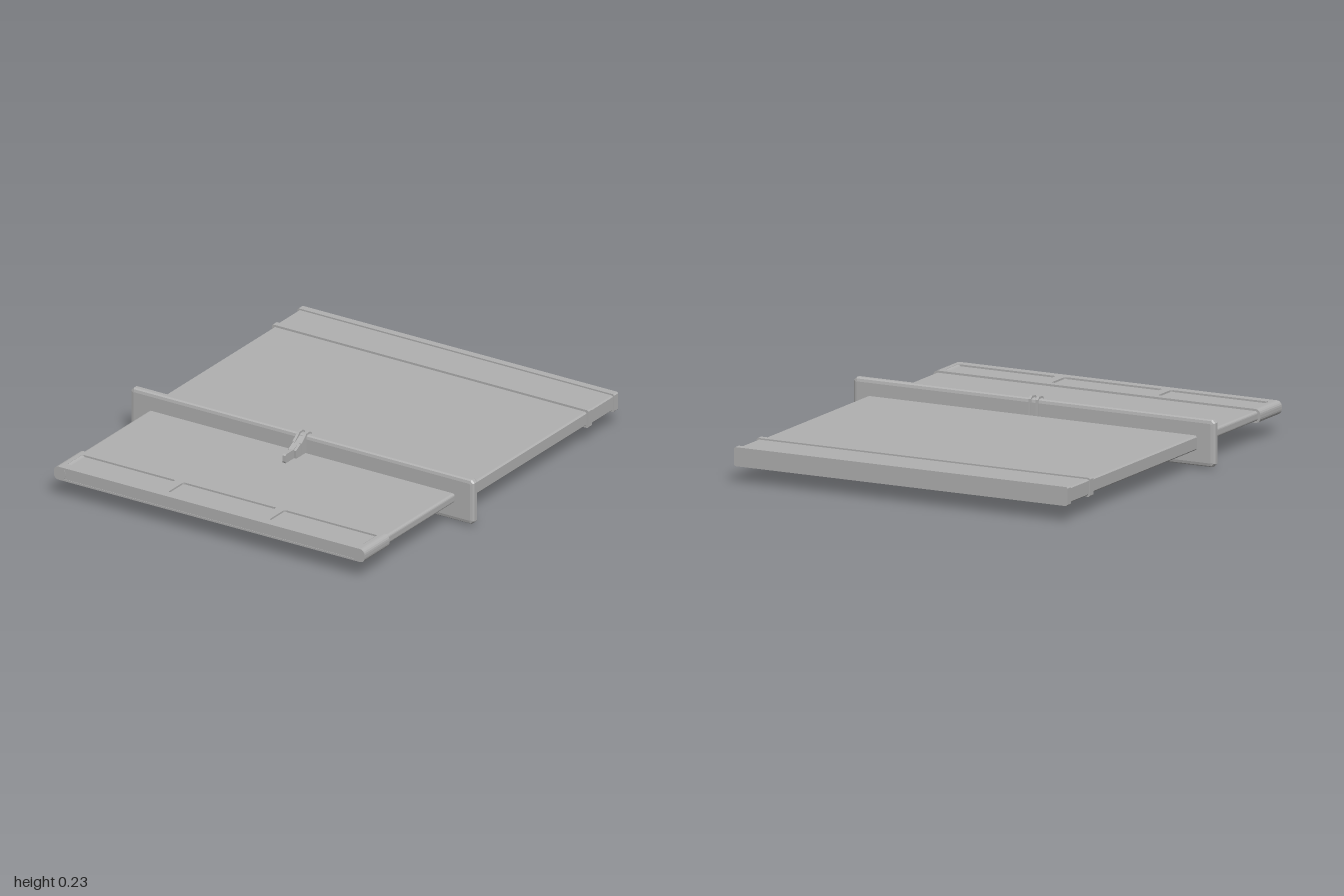
import * as THREE from 'three';

const MID = 0.117; // height of the central plane

export function createModel() {
  const model = new THREE.Group();
  model.name = 'sheathedBlade';
  const grey = new THREE.MeshStandardMaterial({ color: 0xb0b0b0 });
  grey.name = 'plain grey';

  const add = (name, geometry) => {
    const mesh = new THREE.Mesh(geometry, grey);
    mesh.name = name;
    model.add(mesh);
    return mesh;
  };

  // Rectangle with chamfered or rounded corners
  const plate = (w, h, r, steps = 1) => {
    const pts = [];
    [[1, 1], [-1, 1], [-1, -1], [1, -1]].forEach(([sx, sy], q) => {
      for (let i = 0; i <= steps; i++) {
        const a = (q + i / steps) * Math.PI / 2;
        pts.push(new THREE.Vector2(sx * (w / 2 - r) + r * Math.cos(a), sy * (h / 2 - r) + r * Math.sin(a)));
      }
    });
    return pts;
  };

  // Flat bar running along z between two depths
  const bar = (name, halfW, h, z0, z1, r, steps) => {
    const g = new THREE.ExtrudeGeometry(new THREE.Shape(plate(halfW * 2, h, r, steps)),
      { depth: z1 - z0, bevelEnabled: false });
    return add(name, g.translate(0, MID, z0));
  };

  // Sideways profile given as [z, offset from the central plane], centred on x
  const profile = (name, pts, width, side, x = 0) => {
    const shape = new THREE.Shape(pts.map(([z, y]) => new THREE.Vector2(z, MID + side * y)));
    const g = new THREE.ExtrudeGeometry(shape, { depth: width, bevelEnabled: false });
    return add(name, g.rotateY(-Math.PI / 2).translate(x + width / 2, 0, 0));
  };

  // Sheath with its end band and raised rims
  bar('sheath', 0.825, 0.066, -0.99, 0.21, 0.007);
  bar('sheathCollar', 0.812, 0.056, 0.2, 0.235, 0.006);
  bar('endBand', 0.829, 0.072, -0.998, -0.765, 0.006);
  bar('bandFrontRim', 0.835, 0.086, -0.792, -0.762, 0.006);
  bar('bandEndRim', 0.835, 0.086, -1, -0.967, 0.006);

  // Blade
  bar('blade', 0.807, 0.044, 0.23, 0.81, 0.012, 4);

  // Bevelled cross guard
  const guard = new THREE.ExtrudeGeometry(new THREE.Shape(plate(1.774, 0.178, 0.004)), {
    depth: 0.018, bevelSize: 0.018, bevelThickness: 0.011, bevelSegments: 2,
  });
  add('guard', guard.translate(0, MID, 0.233));

  // Pommel: thin core, rounded sides, framed panels above and below
  bar('pommelCore', 0.8, 0.046, 0.802, 0.998, 0.002);
  for (const side of [-1, 1]) {
    bar('pommelSide', 0.03, 0.063, 0.802, 1, 0.025, 5).position.x = side * 0.79;
    const frame = new THREE.Shape([[-0.79, 0.802], [0.79, 0.802], [0.79, 1], [-0.79, 1]]
      .map(([x, z]) => new THREE.Vector2(x, z)));
    for (const x of [-0.533, 0, 0.533]) {
      frame.holes.push(new THREE.Path(plate(0.49, 0.122, 0.01, 3)
        .map(p => new THREE.Vector2(p.x + x, p.y + 0.896))));
    }
    const g = new THREE.ExtrudeGeometry(frame, { depth: 0.009, bevelEnabled: false });
    g.rotateX(Math.PI / 2).translate(0, MID + (side > 0 ? 0.0315 : -0.0225), 0);
    add('pommelPanelFrame', g);
  }

  // Central latch above and below the blade
  for (const side of [-1, 1]) {
    profile('latchTongue', [[0.25, 0.02], [0.4, 0.02], [0.405, 0.03], [0.405, 0.058],
      [0.395, 0.064], [0.34, 0.064], [0.3, 0.08], [0.25, 0.085]], 0.016, side);
    profile('latchBody', [[0.262, 0.02], [0.335, 0.02], [0.338, 0.06], [0.305, 0.078],
      [0.285, 0.084], [0.262, 0.1]], 0.04, side);
    for (const x of [-0.018, 0.018]) {
      profile('latchProng', [[0.216, 0.03], [0.3, 0.03], [0.3, 0.082], [0.272, 0.104],
        [0.262, 0.115], [0.232, 0.117], [0.218, 0.105]], 0.012, side, x);
    }
  }

  return model;
}
